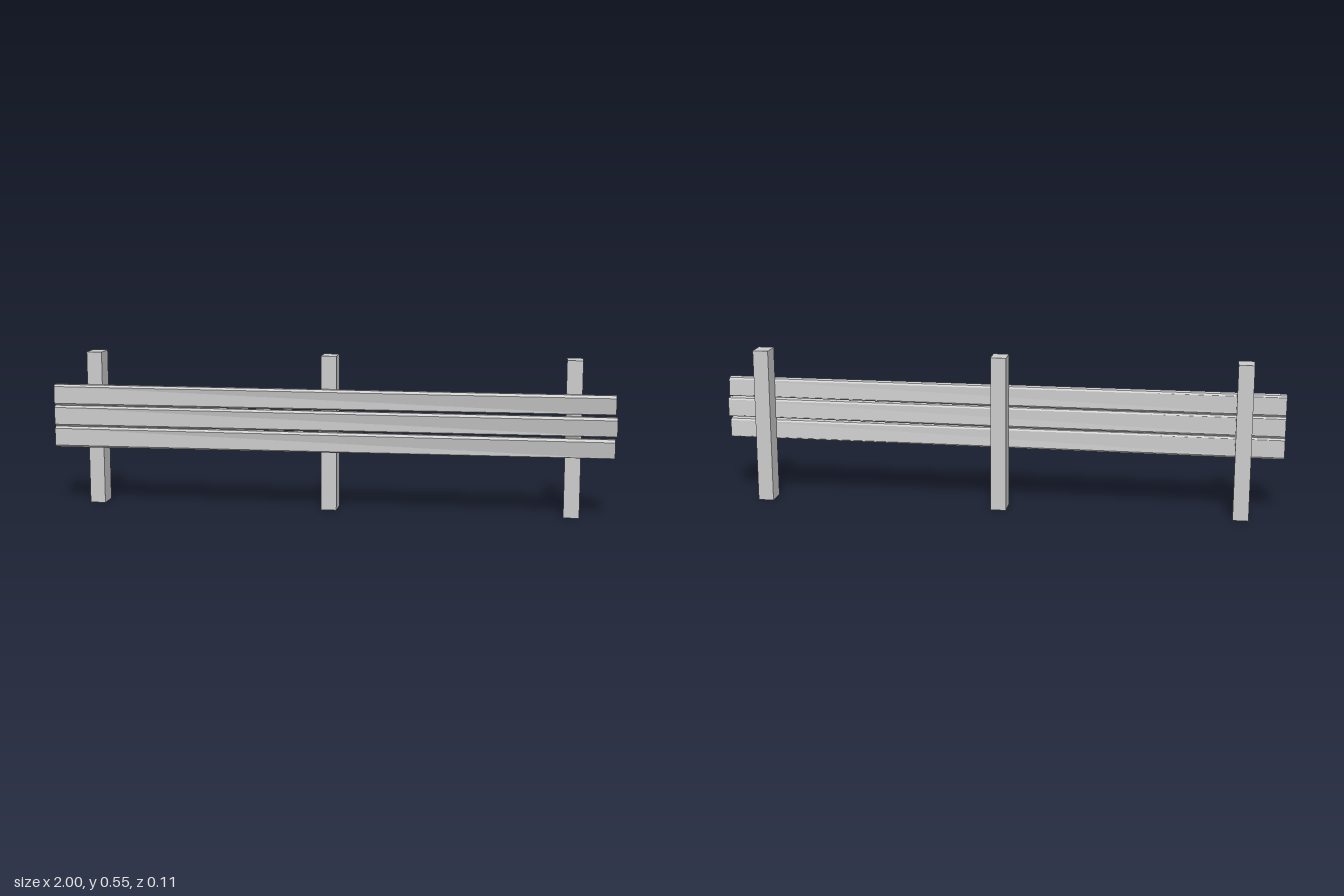
import * as THREE from 'three';

const material = new THREE.MeshStandardMaterial({ color: 0xcccccc, flatShading: true });

// Hand-cut plank: loft between two [z, y] end sections, listed anticlockwise seen from +x
const LEFT_END = [[0.055, 0.008], [0.046, 0], [0.018, 0], [0.013, 0.007],
  [0.013, 0.069], [0.019, 0.075], [0.045, 0.076], [0.055, 0.069]];
const RIGHT_END = [[0.044, 0.012], [0.041, 0.0105], [0.014, 0.0095], [0.012, 0.013],
  [0.0165, 0.07], [0.02, 0.0765], [0.045, 0.078], [0.055, 0.069]];

function plankGeometry(x0, x1) {
  const n = LEFT_END.length;
  const L = LEFT_END.map(([z, y]) => [x0, y, z]);
  const R = RIGHT_END.map(([z, y]) => [x1, y, z]);
  const pos = [];
  const tri = (a, b, c) => pos.push(...a, ...b, ...c);
  for (let i = 0; i < n; i++) {
    const j = (i + 1) % n;
    tri(L[i], L[j], R[j]);
    tri(L[i], R[j], R[i]);
  }
  // end caps
  for (let i = 1; i < n - 1; i++) {
    tri(R[0], R[i], R[i + 1]);
    tri(L[0], L[i + 1], L[i]);
  }
  const g = new THREE.BufferGeometry();
  g.setAttribute('position', new THREE.Float32BufferAttribute(pos, 3));
  g.computeVertexNormals();
  return g;
}

export function createModel() {
  const fence = new THREE.Group();
  fence.name = 'fence';

  // upright square posts behind the planks
  const postGeo = new THREE.BoxGeometry(0.055, 0.552, 0.075);
  [-0.857, -0.005, 0.849].forEach((x, i) => {
    const post = new THREE.Mesh(postGeo, material);
    post.name = `post${i + 1}`;
    post.position.set(x, 0.276, -0.0165);
    fence.add(post);
  });

  // three horizontal planks, the middle one a touch longer
  [0.992, 0.998, 0.992].forEach((end, i) => {
    const plank = new THREE.Mesh(plankGeometry(-1, end), material);
    plank.name = `plank${i + 1}`;
    plank.position.y = 0.207 + i * 0.0762;
    fence.add(plank);
  });

  return fence;
}
